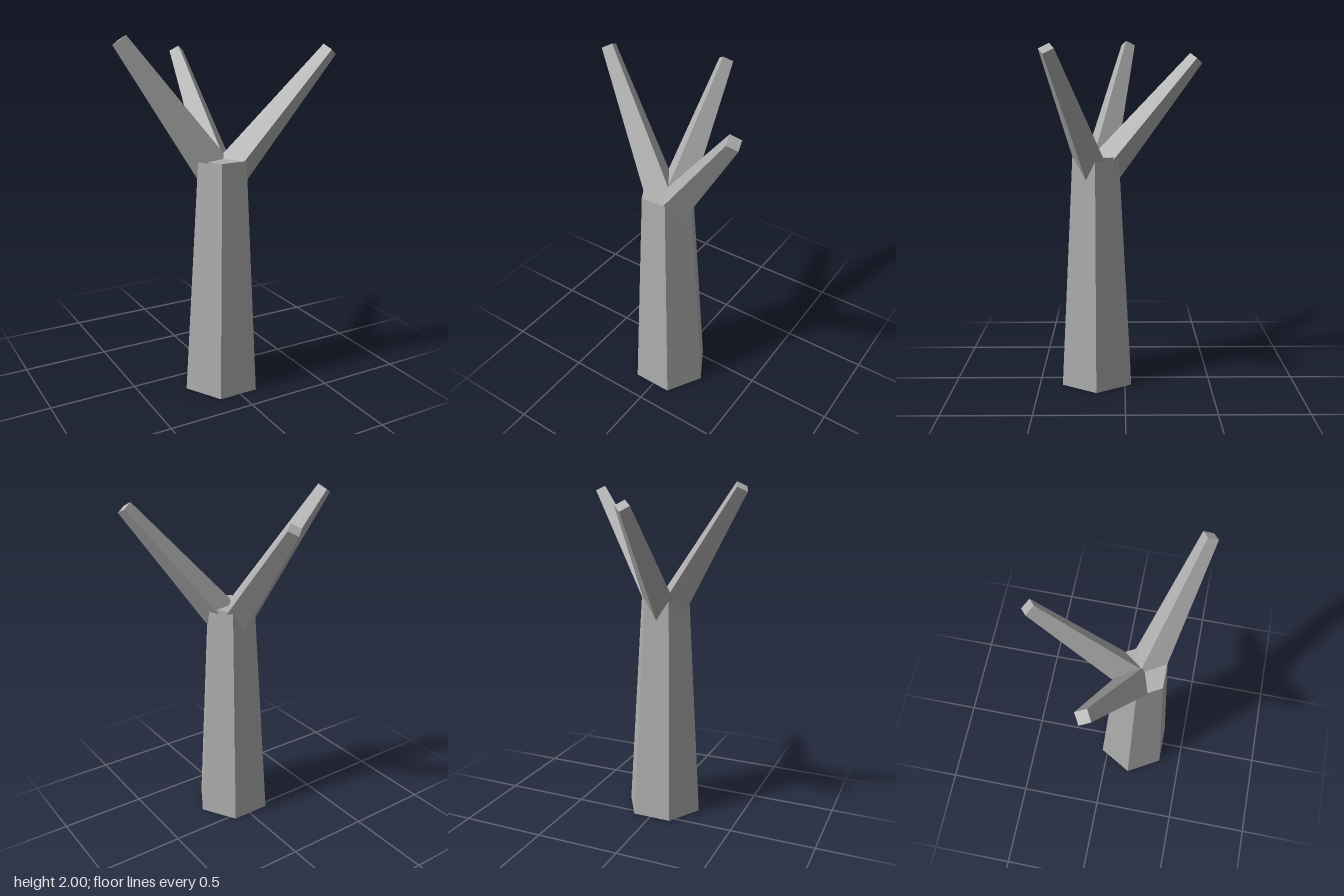
import * as THREE from 'three';

const CENTRE_X = -0.01, CENTRE_Z = 0.165;
const TRUNK_HEIGHT = 1.34, TRUNK_BASE = 0.232, TRUNK_TOP = 0.15;

// Tapered four-sided limb from one point to another, with one edge facing up
function makeBranch(name, start, end, material) {
  const axis = end.clone().sub(start);
  const length = axis.length();
  axis.normalize();
  const side = new THREE.Vector3().crossVectors(axis, new THREE.Vector3(0, 1, 0)).normalize();
  const ridge = new THREE.Vector3().crossVectors(side, axis);
  const geometry = new THREE.CylinderGeometry(0.044, 0.107, length, 4);
  geometry.translate(0, length / 2, 0);
  geometry.applyMatrix4(new THREE.Matrix4().makeBasis(side, axis, ridge));
  const branch = new THREE.Mesh(geometry, material);
  branch.name = name;
  branch.position.copy(start);
  return branch;
}

export function createModel() {
  const model = new THREE.Group();
  model.name = 'bareTree';
  const bark = new THREE.MeshStandardMaterial({
    color: 0xb0b0b0, flatShading: true, side: THREE.DoubleSide,
  });
  bark.name = 'greyBark';

  // Hollow hexagonal trunk, open underneath
  const trunk = new THREE.Mesh(
    new THREE.CylinderGeometry(TRUNK_TOP, TRUNK_BASE, TRUNK_HEIGHT, 6, 1, true, Math.PI / 2),
    bark,
  );
  trunk.name = 'trunk';
  trunk.position.set(CENTRE_X, TRUNK_HEIGHT / 2, CENTRE_Z);
  model.add(trunk);

  // Flat top of the trunk
  const trunkTop = new THREE.Mesh(new THREE.CircleGeometry(TRUNK_TOP, 6), bark);
  trunkTop.name = 'trunkTop';
  trunkTop.rotation.x = -Math.PI / 2;
  trunkTop.position.set(CENTRE_X, TRUNK_HEIGHT, CENTRE_Z);
  model.add(trunkTop);

  // Three branches spreading from one point inside the trunk
  const fork = new THREE.Vector3(CENTRE_X, 1.205, CENTRE_Z);
  const tips = {
    backBranch: [-0.01, 1.885, -0.398],
    rightBranch: [-0.515, 1.973, -0.024],
    leftBranch: [0.515, 1.92, 0.387],
  };
  for (const [name, tip] of Object.entries(tips)) {
    model.add(makeBranch(name, fork, new THREE.Vector3(...tip), bark));
  }
  return model;
}
